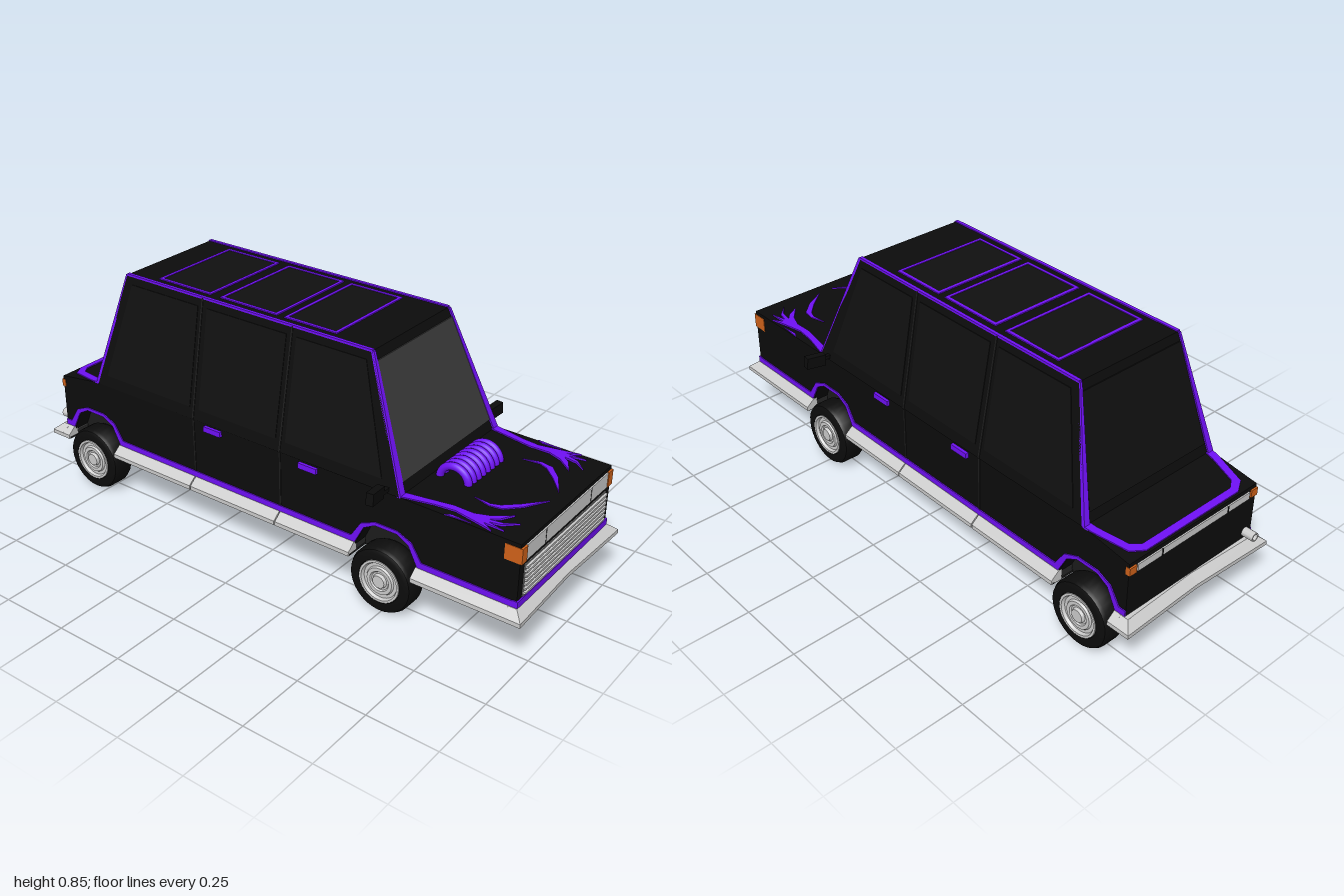
import * as THREE from 'three';
import { toCreasedNormals } from 'three/addons/utils/BufferGeometryUtils.js';
import { ConvexGeometry } from 'three/addons/geometries/ConvexGeometry.js';

const mat = (color) => new THREE.MeshStandardMaterial({ color });
const black = mat(0x0c0c0c), dark = mat(0x1c1c1c), glass = mat(0x3a3a3a), tint = mat(0x101010);
const purple = mat(0x6f10f5), orange = mat(0xd0621a), grey = mat(0xcccccc), slatGrey = mat(0x808080);

const V = (x, y, z) => new THREE.Vector3(x, y, z);
const lerp = THREE.MathUtils.lerp;
const toShape = (pts) => new THREE.Shape(pts.map((p) => new THREE.Vector2(...p)));

export function createModel() {
  const model = new THREE.Group();
  const add = (name, geo, material) => {
    const mesh = new THREE.Mesh(geo, material);
    mesh.name = name;
    model.add(mesh);
    return mesh;
  };
  const box = (name, material, x0, x1, y0, y1, z0, z1) =>
    add(name, new THREE.BoxGeometry(x1 - x0, y1 - y0, z1 - z0)
      .translate((x0 + x1) / 2, (y0 + y1) / 2, (z0 + z1) / 2), material);
  // Side profile in (z, y), extruded across x
  const sideways = (name, material, pts, x0, x1) =>
    add(name, new THREE.ExtrudeGeometry(toShape(pts), { depth: x1 - x0, bevelEnabled: false })
      .rotateY(-Math.PI / 2).translate(x1, 0, 0), material);
  // Plan shape in (x, z), laid flat with its top at y
  const flat = (name, material, shape, y, depth = 0.004) =>
    add(name, new THREE.ExtrudeGeometry(shape, { depth, bevelEnabled: false })
      .rotateX(Math.PI / 2).translate(0, y, 0), material);
  // Thin plate through a planar convex outline, thickened both ways along d
  const slab = (name, material, pts, d) =>
    add(name, new ConvexGeometry(pts.flatMap((p) => [p.clone().add(d), p.clone().sub(d)])), material);

  // Lower body with wheel arch cut-outs
  const wheelZ = [0.495, -0.795];
  const arch = (c, g, base) => [[-0.122 - g, base], [-0.085 - g, 0.272 + g], [-0.042, 0.296 + g],
    [0.042, 0.296 + g], [0.085 + g, 0.272 + g], [0.122 + g, base]].map(([z, y]) => [c + z, y]);
  sideways('lowerBody', black, [[-0.955, 0.19], ...arch(wheelZ[1], 0, 0.19), ...arch(wheelZ[0], 0, 0.19),
    [0.965, 0.19], [0.965, 0.427], [0.54, 0.43], [-0.765, 0.43], [-0.955, 0.403]], -0.29, 0.29);
  for (const c of wheelZ) box('wheelWell', dark, -0.23, 0.23, 0.17, 0.3, c - 0.12, c + 0.12);

  // Cabin tapering to the roof; t runs 0 at the base to 1 at the roof
  const T = (y) => (y - 0.43) / 0.42;
  const halfW = (y) => lerp(0.293, 0.217, T(y));
  const onFront = (f, y) => V(f * halfW(y), y, lerp(0.54, 0.377, T(y)));
  const onBack = (f, y) => V(f * halfW(y), y, lerp(-0.77, -0.655, T(y)));
  add('cabin', new ConvexGeometry([0.43, 0.85].flatMap((y) =>
    [-1, 1].flatMap((f) => [onFront(f, y), onBack(f, y)]))), black);
  for (const [name, on, m, d] of [['windshield', onFront, glass, V(0, 0, 0.004)], ['rearWindow', onBack, tint, V(0, 0, 0.003)]])
    slab(name, m, [on(-0.91, 0.465), on(0.91, 0.465), on(0.955, 0.82), on(-0.955, 0.82)], d);
  for (const s of [-1, 1]) {
    slab('frontPillarTrim', purple, [onFront(s, 0.43), onFront(s * 0.905, 0.43), onFront(s * 0.955, 0.85), onFront(s, 0.85)], V(0, 0, 0.006));
    slab('rearPillarTrim', purple, [onBack(s, 0.43), onBack(s * 0.92, 0.43), onBack(s * 0.965, 0.85), onBack(s, 0.85)], V(0, 0, 0.006));
    const onSide = (z, y) => V(s * halfW(y), y, z);
    const out = V(0.002, 0, 0);
    // Side windows and door seams
    for (const [a, b, c, d] of [[0.47, 0.09, 0.09, 0.36], [0.05, -0.285, -0.285, 0.05], [-0.325, -0.72, -0.63, -0.325]])
      slab('sideWindow', tint, [onSide(a, 0.47), onSide(b, 0.47), onSide(c, 0.82), onSide(d, 0.82)], out);
    for (const z of [0.07, -0.308]) {
      slab('doorSeam', dark, [onSide(z - 0.003, 0.43), onSide(z + 0.003, 0.43), onSide(z + 0.003, 0.85), onSide(z - 0.003, 0.85)], out);
      box('doorSeam', dark, s * 0.29 - 0.002, s * 0.29 + 0.002, 0.2, 0.43, z - 0.003, z + 0.003);
    }
    for (const z of [0.188, -0.218])
      box('doorHandle', purple, s * 0.293 - 0.008, s * 0.293 + 0.008, 0.402, 0.422, z - 0.037, z + 0.037);
    box('roofTrim', purple, s * 0.212 - 0.006, s * 0.212 + 0.006, 0.846, 0.854, -0.655, 0.377);

    // Purple sill line following the arches
    const upper = [[-0.955, 0.226], ...arch(wheelZ[1], 0.012, 0.226), ...arch(wheelZ[0], 0.012, 0.226), [0.967, 0.226]];
    const lower = [[-0.955, 0.2], ...arch(wheelZ[1], 0, 0.2), ...arch(wheelZ[0], 0, 0.2), [0.967, 0.2]];
    sideways('sillTrim', purple, [...upper, ...lower.reverse()], s * 0.291 - 0.003, s * 0.291 + 0.003);

    // Grey skirts, split at the wheels and door seams
    const skirt = toShape([[0.28, 0.205], [0.295, 0.205], [0.325, 0.18], [0.325, 0.165], [0.28, 0.165]].map(([x, y]) => [s * x, y]));
    for (const [z0, z1] of [[0.61, 0.97], [0.072, 0.375], [-0.306, 0.068], [-0.68, -0.31], [-0.97, -0.915]])
      add('sideSkirt', new THREE.ExtrudeGeometry(skirt, { depth: z1 - z0, bevelEnabled: false }).translate(0, 0, z0), grey);

    // Half of each bumper, bowed slightly inward at the middle
    for (const e of [1, -1])
      add(e > 0 ? 'frontBumper' : 'rearBumper', new ConvexGeometry([[0, 0.988], [s * 0.325, 1]].flatMap(([x, z]) => [
        V(x, 0.165, e * z), V(x, 0.18, e * z), V(x * 0.91, 0.205, e * (z - 0.03)),
        V(x * 0.91, 0.205, e * 0.94), V(x, 0.18, e * 0.95), V(x, 0.165, e * 0.94)])), grey);

    // Wing mirror
    box('mirrorArm', black, s * 0.3 - 0.025, s * 0.3 + 0.025, 0.437, 0.45, 0.487, 0.501);
    const mirror = add('mirror', new THREE.BoxGeometry(0.072, 0.042, 0.026), black);
    mirror.position.set(s * 0.352, 0.449, 0.492);
    mirror.rotation.set(0, s * -0.12, s * 0.09);

    // Corner lamps
    box('frontCornerLamp', orange, s * 0.277 - 0.015, s * 0.277 + 0.015, 0.36, 0.414, 0.912, 0.972);
    box('rearCornerLamp', orange, s * 0.277 - 0.015, s * 0.277 + 0.015, 0.362, 0.39, -0.961, -0.944);

    // Hood flames
    const m = (pts) => toShape(pts.map(([x, z]) => [s * x, z]));
    flat('hoodFlame', purple, m([[0.293, 0.53], [0.262, 0.53], [0.25, 0.6], [0.232, 0.7], [0.234, 0.77], [0.215, 0.82],
      [0.17, 0.875], [0.215, 0.85], [0.236, 0.825], [0.228, 0.87], [0.2, 0.91], [0.24, 0.87], [0.25, 0.83], [0.262, 0.89],
      [0.262, 0.82], [0.285, 0.86], [0.268, 0.78], [0.256, 0.72], [0.264, 0.65]]), 0.434, 0.007);
    flat('hoodFlame', purple, m([[0.148, 0.72], [0.166, 0.78], [0.158, 0.825], [0.11, 0.87], [0.03, 0.915],
      [0.1, 0.855], [0.142, 0.81], [0.154, 0.78]]), 0.432, 0.006);
    flat('hoodFlame', purple, m([[0.29, 0.7], [0.278, 0.72], [0.282, 0.79]]), 0.432);
  }

  // Underside, notched for the wheels
  const edge = [[0.32, 0.98], [0.32, 0.61], [0.23, 0.61], [0.23, 0.375], [0.32, 0.375], [0.32, -0.68],
    [0.23, -0.68], [0.23, -0.915], [0.32, -0.915], [0.32, -0.98]];
  flat('floor', dark, toShape([...edge, ...edge.map(([x, z]) => [-x, z]).reverse()]), 0.172, 0.008);

  // Roof panel frames
  for (const [z0, z1] of [[-0.537, -0.305], [-0.262, -0.022], [0.008, 0.217]]) {
    const rect = (w, g) => [[-w, z0 + g], [w, z0 + g], [w, z1 - g], [-w, z1 - g]];
    const frame = toShape(rect(0.182, 0));
    frame.holes.push(toShape(rect(0.171, 0.011)));
    flat('roofPanelFrame', purple, frame, 0.854, 0.006);
    flat('roofPanel', tint, toShape(rect(0.171, 0.011)), 0.852);
  }

  // Trunk trim, sloped with the lid
  const outer = [[0.293, -0.765], [0.288, -0.8], [0.255, -0.92], [0.21, -0.947]];
  const inner = [[0.265, -0.765], [0.26, -0.8], [0.232, -0.9], [0.2, -0.922]];
  const flip = (pts) => pts.map(([x, z]) => [-x, z]).reverse();
  const trunk = flat('trunkTrim', purple, toShape([...outer, ...flip(outer), ...flip(inner).reverse(), ...inner.slice().reverse()]), 0.434, 0.007);
  const p = trunk.geometry.attributes.position;
  for (let i = 0; i < p.count; i++) p.setY(i, p.getY(i) + (p.getZ(i) + 0.765) * 0.142);
  trunk.geometry.computeVertexNormals();

  // Front face: lamp strip, grille and lower trim
  box('headlampStrip', grey, -0.26, 0.26, 0.36, 0.414, 0.95, 0.97);
  for (const x of [-0.146, 0.146]) box('lampDivider', dark, x - 0.001, x + 0.001, 0.36, 0.414, 0.96, 0.971);
  box('grilleBack', slatGrey, -0.262, 0.262, 0.23, 0.345, 0.95, 0.968);
  for (let i = 0; i < 7; i++) box('grilleSlat', grey, -0.26, 0.26, 0.24 + i * 0.0155, 0.247 + i * 0.0155, 0.96, 0.976);
  box('frontTrim', purple, -0.294, 0.294, 0.204, 0.228, 0.95, 0.97);

  // Rear face: lamp strip and exhaust
  box('rearLampStrip', grey, -0.255, 0.255, 0.362, 0.388, -0.96, -0.945);
  for (const x of [-0.15, 0.15]) box('lampDivider', dark, x - 0.002, x + 0.002, 0.362, 0.388, -0.962, -0.95);
  const pipe = new THREE.LatheGeometry([[0.01, -0.04], [0.016, -0.04], [0.016, 0.04], [0.011, 0.04], [0.011, -0.03]]
    .map((q) => new THREE.Vector2(...q)), 16);
  add('exhaust', toCreasedNormals(pipe.rotateX(-Math.PI / 2).translate(-0.26, 0.228, -0.958), 0.6), grey);

  // Arched intake pipes on the hood
  for (let i = 0; i < 8; i++)
    add('intakePipe', new THREE.TorusGeometry(0.052, 0.0135, 10, 20, Math.PI)
      .rotateY(Math.PI / 2).translate((i - 3.5) * 0.0275, 0.424, 0.615), purple);

  // Wheels
  const lathe = (pts) => toCreasedNormals(new THREE.LatheGeometry(pts.map((q) => new THREE.Vector2(...q)), 32), 0.5)
    .rotateZ(-Math.PI / 2);
  const tyre = lathe([[0, -0.045], [0.1, -0.045], [0.112, -0.04], [0.118, -0.028], [0.118, 0.028], [0.112, 0.04],
    [0.1, 0.045], [0.078, 0.045], [0.074, 0.03]]);
  const hub = lathe([[0.076, 0.02], [0.076, 0.046], [0.068, 0.046], [0.063, 0.036], [0.052, 0.036], [0.048, 0.043],
    [0.036, 0.043], [0.032, 0.038], [0.026, 0.038], [0.022, 0.048], [0, 0.048]]);
  for (const z of wheelZ) for (const s of [-1, 1]) {
    const wheel = new THREE.Group();
    wheel.name = 'wheel';
    for (const [name, geo, m] of [['tyre', tyre, black], ['hub', hub, grey]]) {
      const part = new THREE.Mesh(geo, m);
      part.name = name;
      wheel.add(part);
    }
    wheel.position.set(s * 0.28, 0.118, z);
    wheel.rotation.y = s > 0 ? 0 : Math.PI;
    model.add(wheel);
  }
  return model;
}
